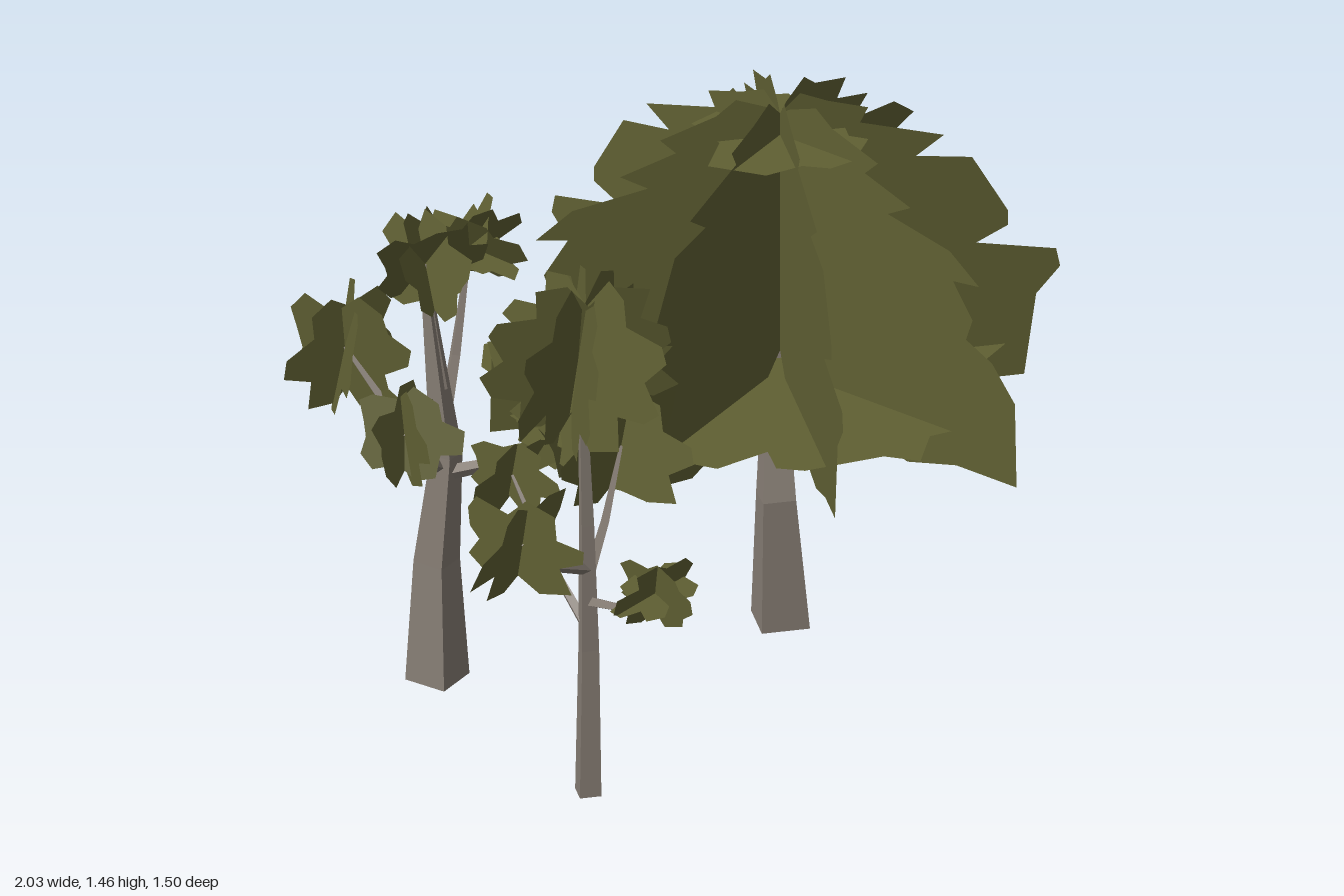
import * as THREE from 'three';

const LEAF = new THREE.MeshStandardMaterial({ color: 0x606033, flatShading: true, side: THREE.DoubleSide });
const BARK = new THREE.MeshStandardMaterial({ color: 0x857c73, flatShading: true });

let seed = 7;
const rnd = () => (seed = (seed * 16807) % 2147483647) / 2147483647;
const add = (parent, geo, mat, name) => {
  const m = new THREE.Mesh(geo, mat);
  m.name = name;
  parent.add(m);
  return m;
};
const group = (parent, name) => {
  const g = new THREE.Group();
  g.name = name;
  parent.add(g);
  return g;
};

// Tapered limb through rows of [x, y, z, radius], with a capped base and tip
function limb(rows, spin = 0.4) {
  const sides = 4, pos = [], idx = [], up = new THREE.Vector3(0, 1, 0);
  const pts = rows.map(r => new THREE.Vector3(r[0], r[1], r[2]));
  rows.forEach((r, i) => {
    const dir = pts[Math.min(i + 1, pts.length - 1)].clone().sub(pts[Math.max(i - 1, 0)]).normalize();
    const q = new THREE.Quaternion().setFromUnitVectors(up, r[1] > 0 ? dir : up);
    for (let k = 0; k < sides; k++) {
      const a = spin + k / sides * Math.PI * 2;
      const v = new THREE.Vector3(Math.sin(a) * r[3], 0, Math.cos(a) * r[3]).applyQuaternion(q).add(pts[i]);
      pos.push(v.x, v.y, v.z);
      if (i < rows.length - 1) {
        const b = i * sides + k, c = i * sides + (k + 1) % sides;
        idx.push(b, c, c + sides, b, c + sides, b + sides);
      }
    }
  });
  const last = (rows.length - 1) * sides;
  for (let k = 1; k < sides - 1; k++) idx.push(0, k + 1, k, last, last + k, last + k + 1);
  const g = new THREE.BufferGeometry();
  g.setAttribute('position', new THREE.Float32BufferAttribute(pos, 3));
  g.setIndex(idx);
  const flat = g.toNonIndexed();
  flat.computeVertexNormals();
  return flat;
}

const sheet = points => new THREE.ShapeGeometry(new THREE.Shape(points.map(p => new THREE.Vector2(...p))));

// Level leaf sheet from a rim of [x, z]
const levelSheet = (rim, y) => sheet(rim.map(([x, z]) => [x, -z])).rotateX(-Math.PI / 2).translate(0, y, 0);

// Flat card with a ragged, lobed outline
function leafCard(rx, ry, n) {
  const p = [];
  for (let i = 0; i < n; i++) {
    const a = (i + rnd() * 0.5) / n * Math.PI * 2, r = (i % 3 ? 0.9 : 0.6) + rnd() * 0.2;
    p.push([Math.cos(a) * rx * r, Math.sin(a) * ry * r]);
  }
  return sheet(p);
}

// Crossed cards around one centre; optional level card
function leafCluster(parent, [x, y, z, r], { cards, spin, tilt, level = false, tall = 0.85, n = 16 }) {
  const g = group(parent, 'leafCluster');
  g.position.set(x, y, z);
  for (let i = 0; i < cards; i++) {
    const m = add(g, leafCard(r, r * tall, n), LEAF, 'leafCard');
    m.rotation.set((rnd() - 0.5) * 2 * tilt, spin + i * Math.PI / cards, (rnd() - 0.5) * tilt, 'YXZ');
  }
  if (level) add(g, leafCard(r, r * 0.5, n), LEAF, 'levelLeafCard').rotation.set(-Math.PI / 2 + 0.4, 0, spin);
}

function branch(parent, from, to, r) {
  const mid = from.map((v, i) => (v + to[i]) / 2);
  mid[1] -= 0.03;
  add(parent, limb([[...from, r], [...mid, r * 0.75], [...to, r * 0.3]]), BARK, 'branch');
}

function broadTree(parent) {
  const t = group(parent, 'broadTree'), ax = 0.325, az = -0.08;
  add(t, limb([[0.325, 0, -0.078, 0.085], [0.31, 0.35, -0.075, 0.058], [0.35, 0.62, -0.14, 0.036], [0.345, 0.76, -0.15, 0.02]]), BARK, 'trunk');

  // Half profiles [radius, height] of the upright leaf sheets
  const wideFoot = [[0, 1.41], [0.03, 1.43], [0.11, 1.46], [0.16, 1.42], [0.3, 1.37], [0.26, 1.33], [0.4, 1.28], [0.33, 1.24],
    [0.52, 1.2], [0.61, 1.13], [0.53, 1.12], [0.59, 1.03], [0.57, 0.97], [0.65, 0.93], [0.72, 0.84], [0.725, 0.61], [0.54, 0.61],
    [0.39, 0.57], [0.22, 0.63], [0.1, 0.64], [0, 0.75]];
  const wideMiddle = [[0, 1.41], [0.05, 1.46], [0.12, 1.43], [0.22, 1.4], [0.2, 1.36], [0.41, 1.3], [0.34, 1.25], [0.48, 1.23],
    [0.57, 1.07], [0.57, 1.03], [0.49, 0.99], [0.69, 0.95], [0.7, 0.9], [0.64, 0.83], [0.61, 0.61], [0.5, 0.61], [0.4, 0.58],
    [0.25, 0.61], [0.12, 0.64], [0, 0.75]];
  // Four full sheets, each a wide-middle half opposite a wide-foot half
  [-22, 68, 198, 293].forEach(deg => {
    [wideMiddle, wideFoot].forEach((profile, half) => {
      const m = add(t, sheet(profile), LEAF, 'uprightLeafSheet');
      m.position.set(ax, 0, az);
      m.rotation.y = (deg + half * 180 - 90) * Math.PI / 180;
    });
  });

  // Wide lower sheet and small crown sheet
  add(t, levelSheet([[-0.2, -0.59], [-0.05, -0.56], [0.12, -0.64], [0.27, -0.61], [0.37, -0.57], [0.45, -0.68], [0.5, -0.63],
    [0.62, -0.75], [0.77, -0.66], [0.81, -0.51], [0.79, -0.33], [0.73, -0.28], [0.91, 0], [0.85, 0.13], [0.72, 0.19], [0.56, 0.3],
    [0.49, 0.42], [0.43, 0.41], [0.34, 0.5], [0.28, 0.43], [0.08, 0.38], [0.03, 0.33], [0.06, 0.25], [-0.09, 0.25], [-0.17, 0.13],
    [-0.19, -0.03], [-0.25, -0.04], [-0.17, -0.17], [-0.27, -0.28], [-0.27, -0.5]], 0.7), LEAF, 'lowerLeafSheet');
  add(t, levelSheet([[0.09, -0.05], [0.18, -0.13], [0.18, -0.25], [0.3, -0.27], [0.42, -0.26], [0.46, -0.24], [0.46, -0.16],
    [0.5, -0.08], [0.46, 0.02], [0.49, 0.06], [0.4, 0.13], [0.33, 0.13], [0.28, 0.08], [0.18, 0.07]], 1.35), LEAF, 'crownLeafSheet');
}

function slimTree(parent) {
  const t = group(parent, 'slimTree');
  add(t, limb([[-0.555, 0, 0.37, 0.038], [-0.55, 0.4, 0.365, 0.03], [-0.56, 0.75, 0.37, 0.022], [-0.575, 1.2, 0.37, 0.01]]), BARK, 'trunk');
  leafCluster(t, [-0.585, 1.215, 0.37, 0.25], { cards: 4, spin: 0.35, tilt: 0.14, tall: 0.92, n: 24 });
  // Side boughs: [x, y, z, radius], start height, spin, level card
  [
    [[-0.84, 0.84, 0.5, 0.2], 0.62, 0.35, false],
    [[-0.53, 0.66, 0.62, 0.14], 0.53, 0.2, true],
    [[-0.34, 0.82, 0.2, 0.25], 0.6, 0.27, false],
    [[-0.58, 0.76, 0.08, 0.15], 0.45, 0.3, false]
  ].forEach(([c, y, spin, level]) => {
    branch(t, [-0.552, y, 0.367], c.slice(0, 3), 0.016);
    leafCluster(t, c, { cards: 2, spin, tilt: 0.25, level, tall: 0.6 });
  });
}

function forkedTree(parent) {
  const t = group(parent, 'forkedTree');
  add(t, limb([[-0.525, 0, -0.32, 0.08], [-0.52, 0.32, -0.33, 0.058], [-0.505, 0.62, -0.31, 0.04], [-0.54, 1.1, -0.35, 0.012]], -0.4), BARK, 'trunk');
  // Boughs: [x, y, z, radius], start height, level card
  [
    [[-0.64, 0.85, -0.55, 0.18], 0.6, false],
    [[-0.54, 1.14, -0.35, 0.16], 0.8, false],
    [[-0.72, 0.8, -0.18, 0.14], 0.58, false],
    [[-0.34, 1.08, -0.45, 0.15], 0.65, true],
    [[-0.34, 0.75, -0.06, 0.14], 0.56, true]
  ].forEach(([c, y, level], i) => {
    branch(t, [-0.515, y, -0.32], c.slice(0, 3), 0.02);
    leafCluster(t, c, { cards: 3, spin: i * 0.7, tilt: 0.5, level });
  });
}

export function createModel() {
  const model = new THREE.Group();
  model.name = 'treeGrove';
  seed = 7;
  broadTree(model);
  slimTree(model);
  forkedTree(model);
  return model;
}
